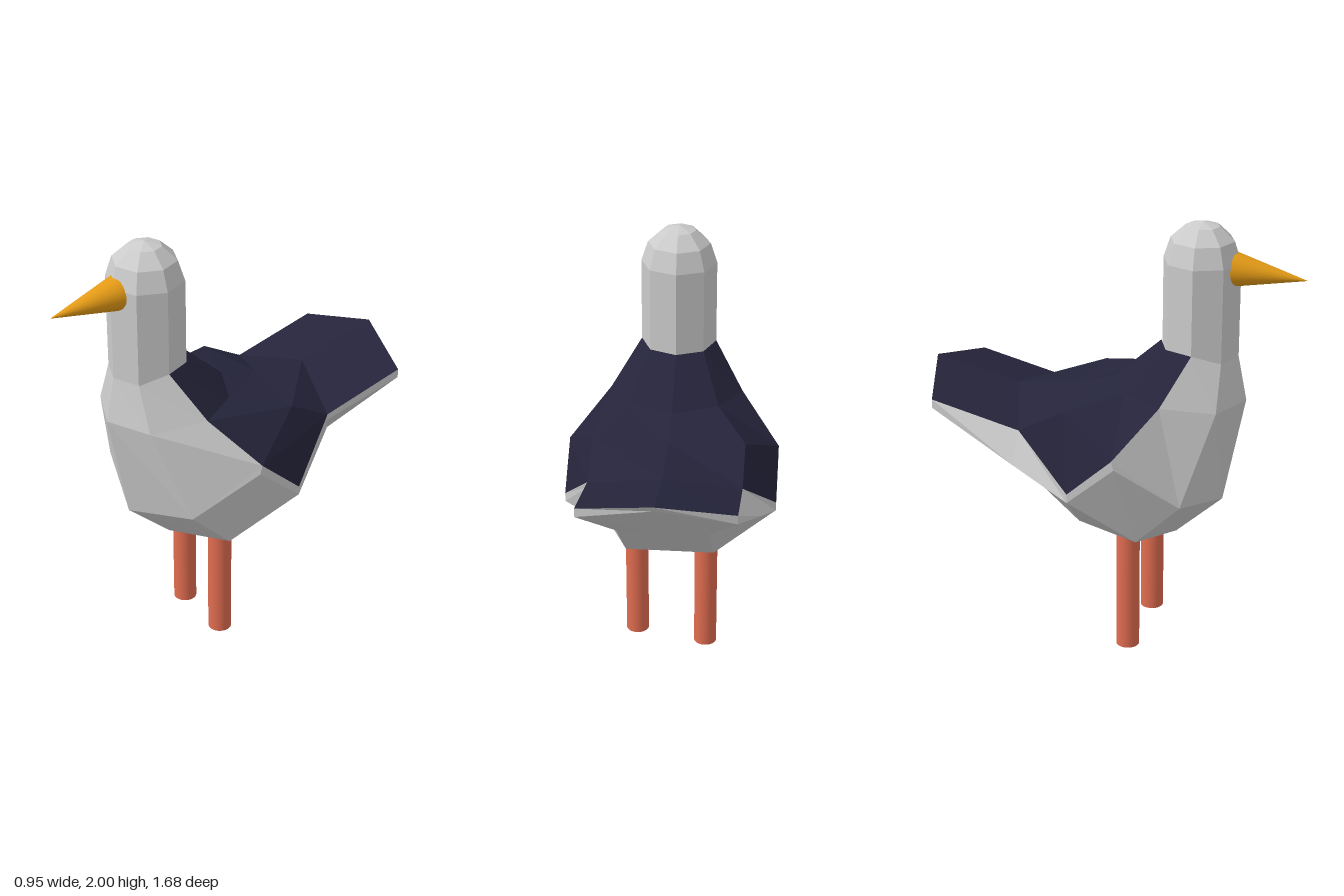
import * as THREE from 'three';

const mat = (color, flatShading = false) => new THREE.MeshStandardMaterial({ color, flatShading });

// Cross-sections of one half (x >= 0), ordered from the front centre round to the back centre
const neck = [[0, 1.41, .555], [.12, 1.41, .505], [.17, 1.45, .385], [.12, 1.45, .26], [0, 1.45, .21]];
const chest = [[0, 1.21, .595], [.2, 1.21, .505], [.3, 1.25, .28], [.2, 1.26, .1], [0, 1.26, 0]];
const belly = [[0, .72, .5], [.335, .81, .385], [.475, 1.06, .12], [.335, 1.2, -.14], [0, 1.21, -.18]];
const low = [[0, .53, .29], [.335, .62, .19], [.475, .88, -.08], [.335, 1.09, -.34], [0, 1.18, -.45]];
const tail = [[.335, 1.19, -.74], [0, 1.27, -.84]];
const keel = [[0, .62, -.11], [.2, .62, -.11]];
const rump = [[0, .92, -.45], [.2, .92, -.45]];

// Quads between two rows of points; side -1 mirrors them
function strip(out, a, b, side) {
  for (let i = 0; i < a.length - 1; i++) {
    const quad = [a[i], b[i], b[i + 1], a[i + 1]];
    if (side < 0) quad.reverse();
    for (const k of [0, 1, 2, 0, 2, 3]) out.push(quad[k][0] * side, quad[k][1], quad[k][2]);
  }
}

function facetMesh(positions, color, name) {
  const geo = new THREE.BufferGeometry();
  geo.setAttribute('position', new THREE.Float32BufferAttribute(positions, 3));
  geo.computeVertexNormals();
  const mesh = new THREE.Mesh(geo, mat(color, true));
  mesh.name = name;
  return mesh;
}

export function createModel() {
  const group = new THREE.Group();
  group.name = 'bird';
  const add = (geo, material, name) => {
    const mesh = new THREE.Mesh(geo, material);
    mesh.name = name;
    group.add(mesh);
    return mesh;
  };

  const body = [], back = [];
  for (const side of [1, -1]) {
    // Lower edge of the rim under the wings and tail
    const rim = [
      [.475, 1.02, .13], [.475, .84, -.08],
      side > 0 ? [.335, 1.06, -.33] : [.42, .96, -.34],
      [.335, 1.15, -.74], [0, 1.24, -.82],
    ];
    // Breast
    strip(body, neck.slice(0, 3), chest.slice(0, 3), side);
    strip(body, chest.slice(0, 3), belly.slice(0, 3), side);
    strip(body, [belly[1], belly[2]], [belly[1], rim[0]], side);
    // Belly and underside
    const lower = [low[0], low[1], rim[1]];
    strip(body, [belly[0], belly[1], rim[0]], lower, side);
    strip(body, lower, [...keel, rump[1]], side);
    strip(body, keel, rump, side);
    strip(body, rump, [rim[4], rim[3]], side);
    strip(body, [rump[1], rim[1]], [rim[3], rim[2]], side);
    // Rim
    strip(body, [belly[2], low[2], low[3], ...tail], rim, side);
    // Dark wings, back and tail
    const rows = [neck, chest, belly, low].map(r => r.slice(2));
    for (let i = 0; i < 3; i++) strip(back, rows[i], rows[i + 1], side);
    strip(back, low.slice(3), tail, side);
  }
  group.add(facetMesh(body, 0xcccccc, 'body'), facetMesh(back, 0x25243b, 'wingsAndTail'));

  // Neck and domed head
  const profile = [[.17, 1.41], [.17, 1.83], [.14, 1.92], [.075, 1.98], [0, 2]];
  const head = add(new THREE.LatheGeometry(profile.map(p => new THREE.Vector2(...p)), 8),
    mat(0xcccccc, true), 'head');
  head.position.z = .385;

  // Beak, its tip dipping slightly
  const beak = add(new THREE.ConeGeometry(.076, .32, 32), mat(0xe39a16), 'beak');
  beak.position.set(0, 1.788, .682);
  beak.rotation.x = Math.PI / 2 + .075;

  // Legs, one a little shorter and further forward
  for (const [name, x, z, foot] of [['leftLeg', .175, .132, .035], ['rightLeg', -.152, .105, 0]]) {
    const top = .66;
    const leg = add(new THREE.CylinderGeometry(.053, .053, top - foot, 32), mat(0xe06c50), name);
    leg.position.set(x, (top + foot) / 2, z);
  }
  return group;
}
